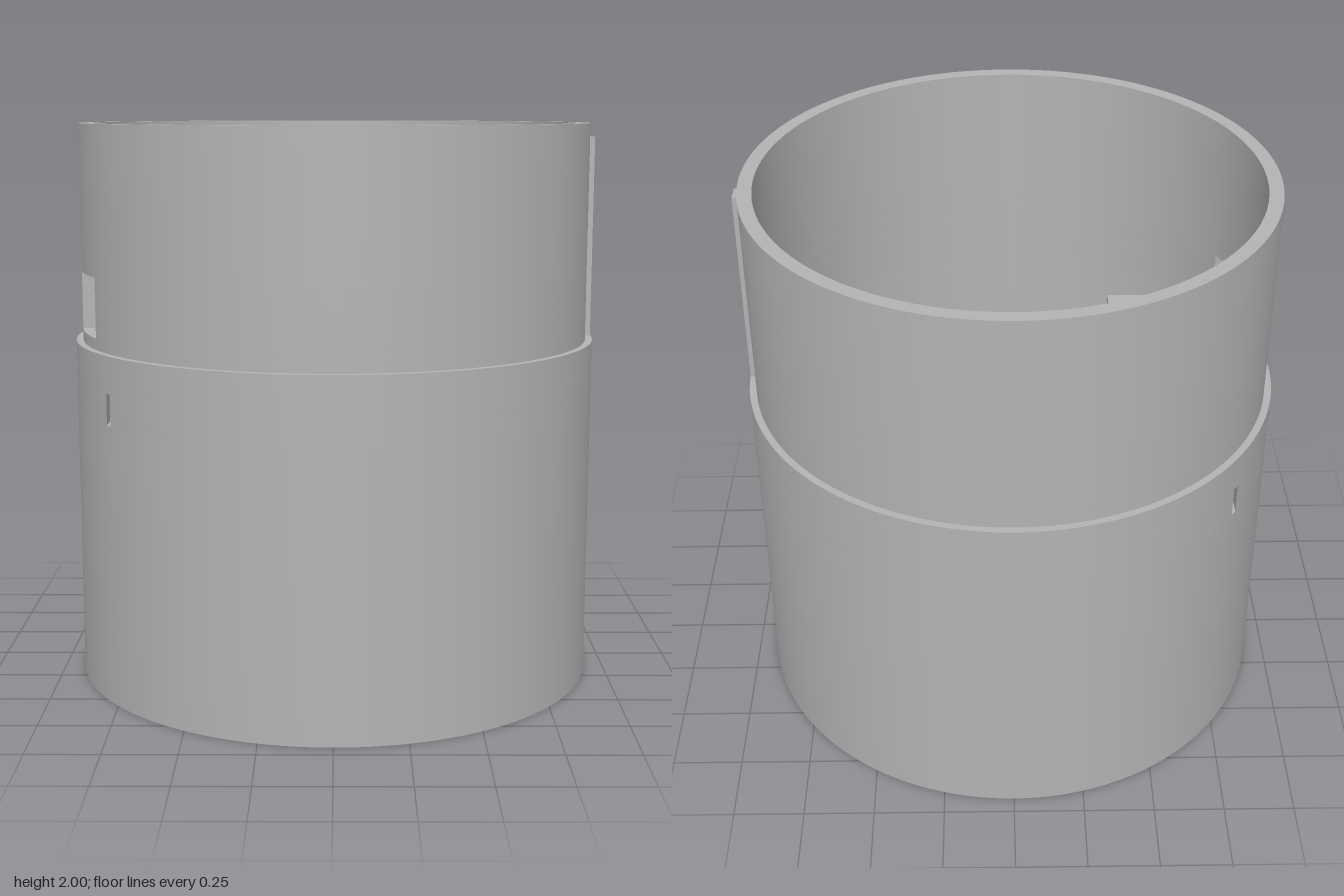
import * as THREE from 'three';
import { toCreasedNormals } from 'three/addons/utils/BufferGeometryUtils.js';

const R_LOW = 0.94, R_LOW_IN = 0.9, R_TOP = 0.915, R_TOP_IN = 0.865;

export function createModel() {
  const model = new THREE.Group();
  const plastic = new THREE.MeshStandardMaterial({ color: 0xb3b3b3 });
  plastic.name = 'grey plastic';

  // Extrude a plan outline of [x, z] points between two heights
  function prism(name, points, y0, y1, hole) {
    const shape = new THREE.Shape(points.map(([x, z]) => new THREE.Vector2(x, z)));
    if (hole) shape.holes.push(new THREE.Path().absarc(hole[0], hole[1], hole[2], 0, Math.PI * 2, true));
    const geo = new THREE.ExtrudeGeometry(shape, { depth: y1 - y0, bevelEnabled: false, curveSegments: 24 });
    geo.rotateX(Math.PI / 2).translate(0, y1, 0);
    const mesh = new THREE.Mesh(toCreasedNormals(geo, 0.5), plastic);
    mesh.name = name;
    model.add(mesh);
  }

  // Arc of wall; each end is a function giving its angle at a radius
  function wallArc(name, rIn, rOut, y0, y1, start, end) {
    const arc = (r) => {
      const a = start(r), b = end(r), n = Math.max(2, Math.ceil((b - a) / (Math.PI / 72)));
      return Array.from({ length: n + 1 }, (_, i) => {
        const t = a + (b - a) * i / n;
        return [r * Math.cos(t), r * Math.sin(t)];
      });
    };
    prism(name, [...arc(rOut), ...arc(rIn).reverse()], y0, y1);
  }

  // Ring of wall with gaps, each gap being a pair of end functions
  const at = (angle) => () => angle;
  function wallBand(name, rIn, rOut, y0, y1, gaps = [[at(Math.PI), at(Math.PI)]]) {
    let start = at(0);
    for (const [a, b] of gaps) {
      wallArc(name, rIn, rOut, y0, y1, start, a);
      start = b;
    }
    wallArc(name, rIn, rOut, y0, y1, start, at(Math.PI * 2));
  }

  // Lower sleeve with two narrow slots
  const atX = (x) => (r) => Math.acos(x / r);
  const atXBack = (x) => (r) => Math.PI * 2 - Math.acos(x / r);
  const slots = [
    [atX(-0.755), atX(-0.77)],
    [atXBack(-0.77), atXBack(-0.755)],
  ];
  wallBand('lowerSleeve', R_LOW_IN, R_LOW, 0, 0.99);
  wallBand('lowerSleeveSlotted', R_LOW_IN, R_LOW, 0.99, 1.1, slots);
  wallBand('lowerSleeveRim', R_LOW_IN, R_LOW, 1.1, 1.23);

  // Upper collar with a tall window and a small side window
  const tallWindow = [at(Math.PI - 0.46), at(Math.PI - 0.148)];
  const atZ = (z) => (r) => Math.PI - Math.asin(z / r);
  const sideWindow = [atZ(0.06), atZ(-0.12)];
  wallBand('collarBase', R_TOP_IN, R_TOP, 1.22, 1.27);
  wallBand('collarWindowSill', R_TOP_IN, R_TOP, 1.27, 1.31, [tallWindow]);
  wallBand('collarWindows', R_TOP_IN, R_TOP, 1.31, 1.42, [tallWindow, sideWindow]);
  wallBand('collarWindowHead', R_TOP_IN, R_TOP, 1.42, 1.48, [tallWindow]);
  wallBand('collar', R_TOP_IN, R_TOP, 1.48, 2);

  // Locating rib on the collar
  prism('locatingRib', [[0.9, -0.035], [0.938, -0.035], [0.938, 0.035], [0.9, 0.035]], 1.23, 1.95);

  // Pair of inner posts, slotted near the wall and drilled from the top
  for (const s of [-1, 1]) {
    const post = [[-0.39, 0.4 * s], [-0.39, 0.572 * s], [-0.715, 0.572 * s], [-0.82, 0.4 * s]];
    const neck = [[-0.39, 0.4 * s], [-0.39, 0.572 * s], [-0.715, 0.572 * s], [-0.752, 0.51 * s], [-0.752, 0.4 * s]];
    const hole = [-0.563, 0.475 * s, 0.028];
    prism('post', post, 0, 0.99);
    prism('postNeck', neck, 0.99, 1.1, hole);
    prism('postTop', post, 1.1, 1.2, hole);
  }

  // Curved deflector and its tongue behind the side window
  const curve = new THREE.QuadraticBezierCurve(
    new THREE.Vector2(-0.868, 0.03), new THREE.Vector2(-0.815, -0.06), new THREE.Vector2(-0.74, -0.11));
  prism('deflector', [...curve.getPoints(12).map((p) => [p.x, p.y]), [-0.74, -0.17], [-0.868, -0.17]], 1.27, 1.46);
  prism('deflectorTongue', [[-0.868, -0.168], [-0.742, -0.168], [-0.74, 0.06], [-0.868, 0.06]], 1.3, 1.41);

  return model;
}
